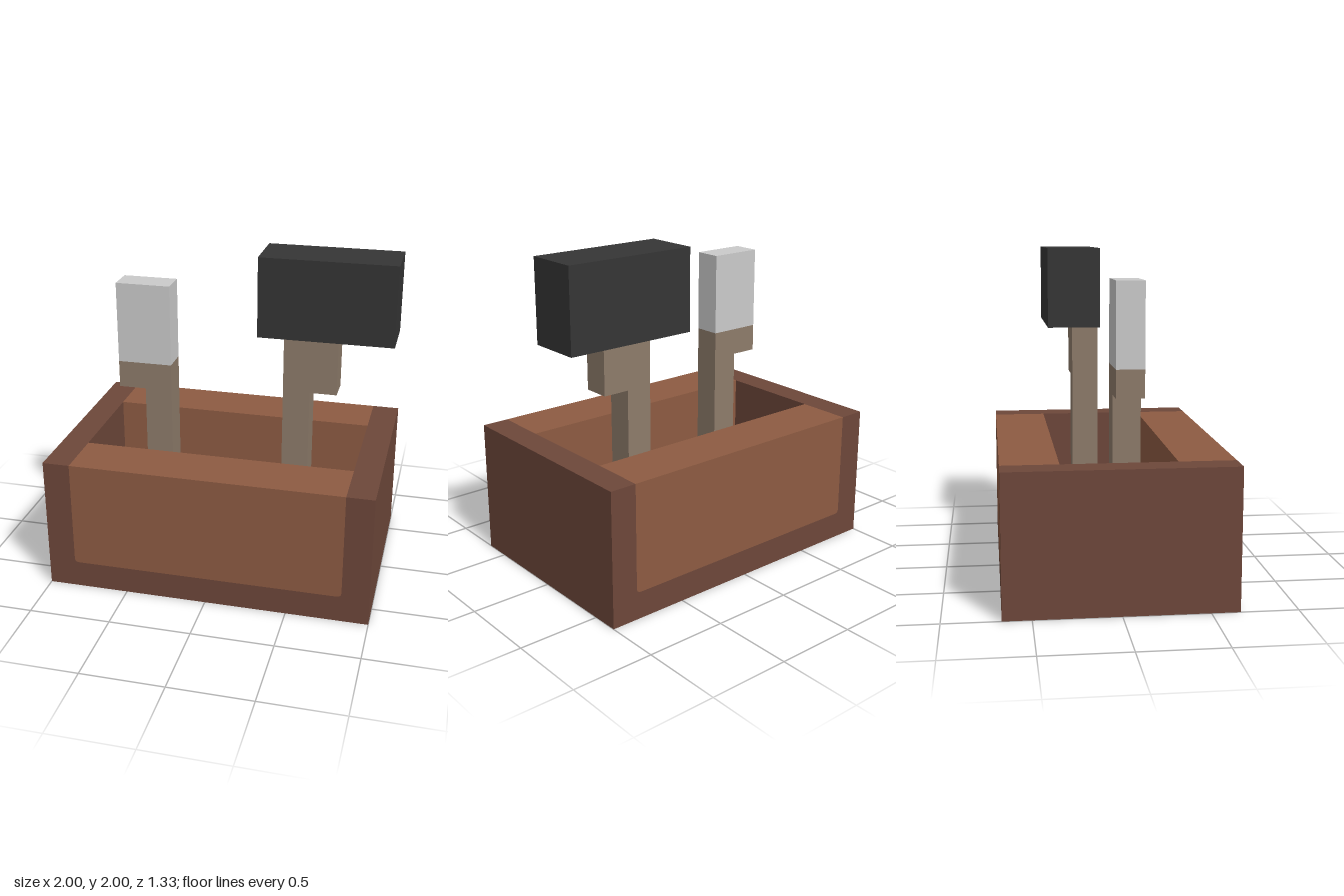
import * as THREE from 'three';

const U = 1 / 6; // grid unit of the blocky design

function material(name, color) {
  const m = new THREE.MeshStandardMaterial({ color });
  m.name = name;
  return m;
}

// Box given by its min and max corners
function block(parent, name, mat, [x0, y0, z0], [x1, y1, z1]) {
  const mesh = new THREE.Mesh(new THREE.BoxGeometry(x1 - x0, y1 - y0, z1 - z0), mat);
  mesh.position.set((x0 + x1) / 2, (y0 + y1) / 2, (z0 + z1) / 2);
  mesh.name = name;
  parent.add(mesh);
}

// Front-to-back extrusion starting at z0
function slab(parent, name, mat, shape, z0, depth) {
  const geo = new THREE.ExtrudeGeometry(shape, { depth, bevelEnabled: false, curveSegments: 5 });
  const mesh = new THREE.Mesh(geo, mat);
  mesh.position.z = z0;
  mesh.name = name;
  parent.add(mesh);
}

// Continues a path along the inner outline with rounded lower corners, right to left
function innerOutline(shape) {
  const w = 5 * U, r = 0.03;
  shape.lineTo(w, U + r);
  shape.quadraticCurveTo(w, U, w - r, U);
  shape.lineTo(-w + r, U);
  shape.quadraticCurveTo(-w, U, -w, U + r);
  shape.lineTo(-w, 5 * U);
}

export function createModel() {
  const darkWood = material('dark wood', 0x6d473a);
  const lightWood = material('light wood', 0x8d5b42);
  const handleWood = material('handle wood', 0x8d7b6a);
  const steel = material('steel', 0xcacaca);
  const iron = material('black iron', 0x353535);

  const model = new THREE.Group();
  model.name = 'toolBox';

  // Crate: U-shaped frame (base and ends) with two long walls set in it
  const crate = new THREE.Group();
  crate.name = 'crate';
  model.add(crate);
  const frame = new THREE.Shape();
  frame.moveTo(-1, 0);
  frame.lineTo(1, 0);
  frame.lineTo(1, 5 * U);
  frame.lineTo(5 * U, 5 * U);
  innerOutline(frame);
  frame.lineTo(-1, 5 * U);
  slab(crate, 'crateFrame', darkWood, frame, -4 * U, 8 * U);

  const wall = new THREE.Shape();
  wall.moveTo(5 * U, 5 * U);
  innerOutline(wall);
  slab(crate, 'frontWall', lightWood, wall, 2 * U, 2 * U);
  slab(crate, 'backWall', lightWood, wall, -4 * U, 2 * U);

  // Chisel: foot, shaft, grip and blade
  const chisel = new THREE.Group();
  chisel.name = 'chisel';
  model.add(chisel);
  block(chisel, 'chiselFoot', handleWood, [-3 * U, U, -U], [-2 * U, 3 * U, 0]);
  block(chisel, 'chiselShaft', handleWood, [-3 * U, U, 0], [-2 * U, 7 * U, U]);
  block(chisel, 'chiselGrip', handleWood, [-4 * U, 7 * U, 0], [-2 * U, 8 * U, U]);
  block(chisel, 'chiselBlade', steel, [-4 * U, 8 * U, 0], [-2 * U, 11 * U, U]);

  // Hammer: foot, shaft, collar and head
  const hammer = new THREE.Group();
  hammer.name = 'hammer';
  model.add(hammer);
  block(hammer, 'hammerFoot', handleWood, [2 * U, U, 0], [3 * U, 3 * U, U]);
  block(hammer, 'hammerShaft', handleWood, [2 * U, U, -U], [3 * U, 7 * U, 0]);
  block(hammer, 'hammerCollar', handleWood, [2 * U, 7 * U, -U], [4 * U, 9 * U, 0]);
  block(hammer, 'hammerHead', iron, [U, 9 * U, -2 * U], [6 * U, 12 * U, 0]);

  return model;
}
